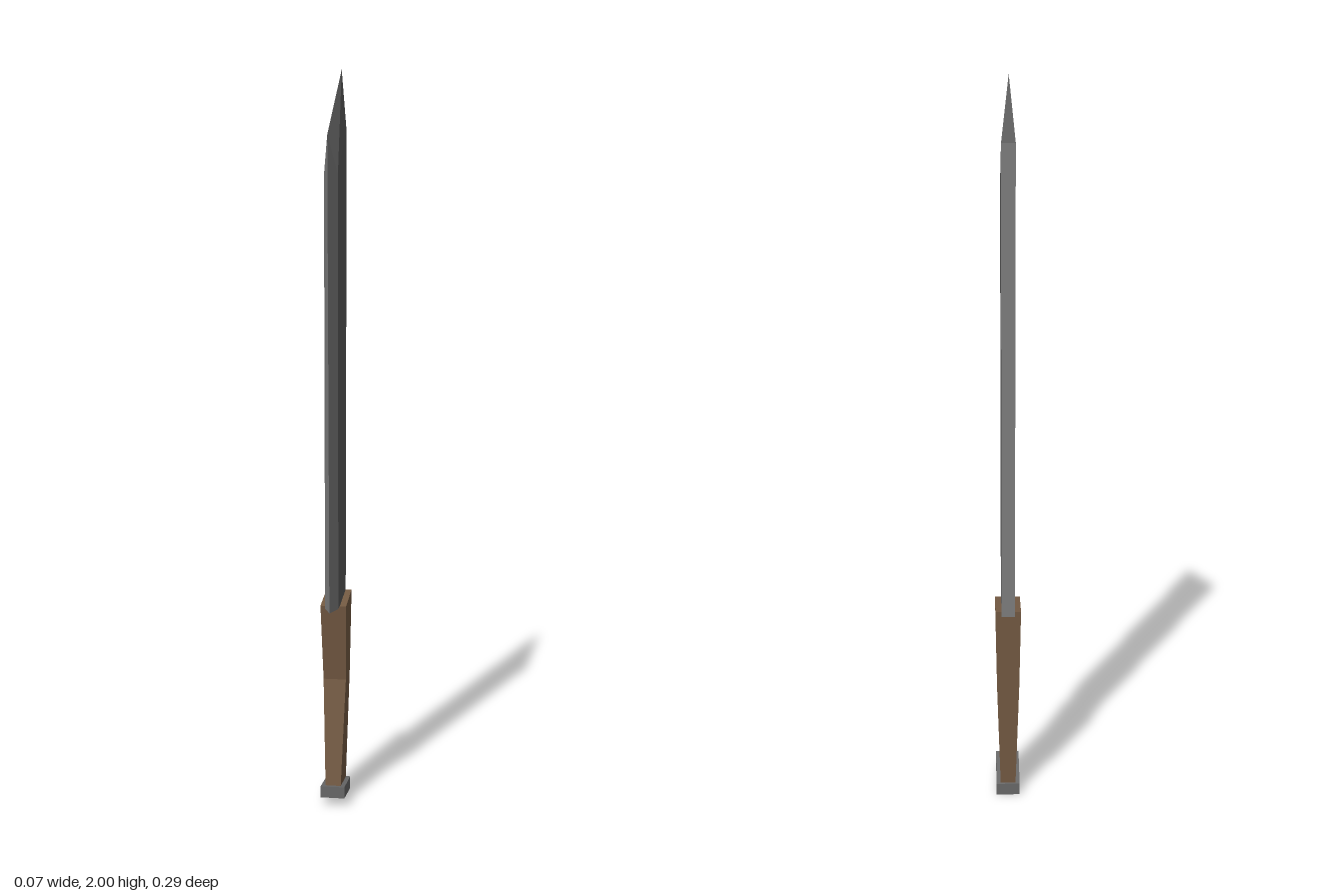
import * as THREE from 'three';

const paint = (name, color) => {
  const m = new THREE.MeshStandardMaterial({ color });
  m.name = name;
  return m;
};

// Box whose levels, from bottom to top, are {w: half width, f: [z, y] front, b: [z, y] back}
function loftBox(name, levels, material) {
  const n = levels.length - 1;
  const box = new THREE.BoxGeometry(1, 1, 1, 1, n, 1);
  const p = box.attributes.position;
  for (let i = 0; i < p.count; i++) {
    const { w, f, b } = levels[Math.round((p.getY(i) + 0.5) * n)];
    const [z, y] = p.getZ(i) > 0 ? f : b;
    p.setXYZ(i, Math.sign(p.getX(i)) * w, y, z);
  }
  const geo = box.toNonIndexed();
  geo.computeVertexNormals();
  const mesh = new THREE.Mesh(geo, material);
  mesh.name = name;
  return mesh;
}

// Flat convex faces, each a counter-clockwise list of corner points
function faceMesh(name, faces, material) {
  const pos = [];
  for (const f of faces)
    for (let i = 1; i < f.length - 1; i++) pos.push(...f[0], ...f[i], ...f[i + 1]);
  const geo = new THREE.BufferGeometry();
  geo.setAttribute('position', new THREE.Float32BufferAttribute(pos, 3));
  geo.computeVertexNormals();
  const mesh = new THREE.Mesh(geo, material);
  mesh.name = name;
  return mesh;
}

export function createModel() {
  const darkSteel = paint('darkSteel', 0x595959);
  const brightSteel = paint('brightSteel', 0x7e7e7e);
  const pommelSteel = paint('pommelSteel', 0x696969);
  const wood = paint('wood', 0x755b43);
  const model = new THREE.Group();
  model.name = 'machete';

  // Blade corners: cutting edge, bevel ridge, spine and tip
  const T = 0.018;
  const edgeLow = [0, 0.567, 0.11], edgeTop = [0, 1.81, 0.145], tip = [0, 2, -0.145];
  const ridgeLow = s => [s * T, 0.567, 0.063], ridgeTop = s => [s * T, 1.715, 0.075];
  const spineLow = s => [s * T, 0.567, -0.1], spineTop = s => [s * T, 1.835, -0.108];

  const flats = [], bevels = [];
  for (const s of [1, -1]) {
    const side = (...pts) => (s > 0 ? pts : pts.reverse());
    flats.push(side(ridgeLow(s), spineLow(s), spineTop(s), ridgeTop(s)));
    flats.push(side(ridgeTop(s), spineTop(s), tip));
    bevels.push(side(edgeLow, ridgeLow(s), ridgeTop(s), edgeTop));
    bevels.push(side(edgeTop, ridgeTop(s), tip));
  }
  const spine = [
    [spineLow(1), spineLow(-1), spineTop(-1), spineTop(1)],
    [spineTop(1), spineTop(-1), tip],
  ];
  const heel = [[edgeLow, ridgeLow(-1), spineLow(-1), spineLow(1), ridgeLow(1)]];

  const blade = new THREE.Group();
  blade.name = 'blade';
  blade.add(
    faceMesh('bladeFlats', flats, darkSteel),
    faceMesh('cuttingBevels', bevels, brightSteel),
    faceMesh('bladeSpine', spine, brightSteel),
    faceMesh('bladeHeel', heel, darkSteel),
  );

  // Bent wooden grip and the slanted metal cap under it
  const handle = loftBox('handle', [
    { w: 0.021, f: [0.035, 0.05], b: [-0.083, 0.03] },
    { w: 0.031, f: [0, 0.35], b: [-0.09, 0.35] },
    { w: 0.035, f: [0.032, 0.566], b: [-0.096, 0.58] },
  ], wood);
  const pommel = loftBox('pommel', [
    { w: 0.033, f: [0.05, 0.026], b: [-0.088, 0] },
    { w: 0.033, f: [0.05, 0.058], b: [-0.088, 0.035] },
  ], pommelSteel);

  model.add(blade, handle, pommel);
  return model;
}
